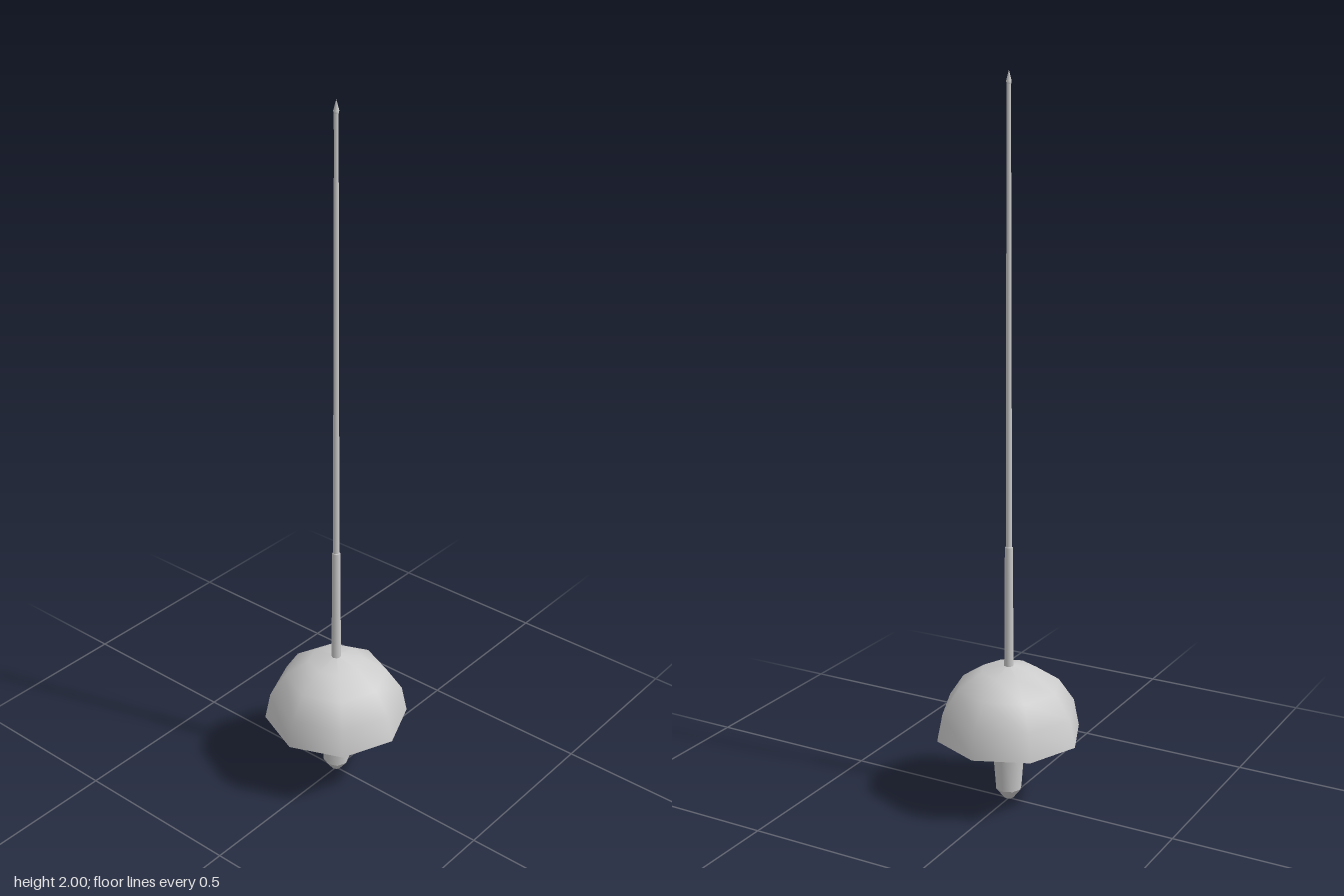
import * as THREE from 'three';

const SIDES = 8;

// Turned part from [radius, height] pairs listed bottom to top
function turned(name, profile) {
  const points = profile.map(([r, y]) => new THREE.Vector2(r, y));
  const material = new THREE.MeshStandardMaterial({ color: 0xcccccc });
  const mesh = new THREE.Mesh(new THREE.LatheGeometry(points, SIDES), material);
  mesh.name = name;
  return mesh;
}

// Quarter arc from rim to crown
function arc(radius, height, base, steps = 4) {
  return Array.from({ length: steps + 1 }, (_, i) => {
    const a = (i / steps) * Math.PI / 2;
    return [i === steps ? 0 : radius * Math.cos(a), base + height * Math.sin(a)];
  });
}

export function createModel() {
  const group = new THREE.Group();
  group.name = 'fencingSword';

  // Bell guard: outer shell, inner shell and the flat rim between them
  const guard = new THREE.Group();
  guard.name = 'bellGuard';
  const outer = arc(0.206, 0.204, 0.198);
  const inner = arc(0.195, 0.193, 0.198);
  guard.add(
    turned('guardOuter', outer),
    turned('guardInner', inner.slice().reverse()),
    turned('guardRim', [inner[0], outer[0]]),
  );
  group.add(guard);

  // Grip with a rounded pommel, running up into the guard
  group.add(
    turned('pommel', [[0, 0], [0.014, 0.004], [0.037, 0.034]]),
    turned('grip', [[0.037, 0.034], [0.05, 0.2], [0.058, 0.32], [0.058, 0.375]]),
  );

  // Blade: thick forte, then two thinner lengths
  group.add(
    turned('bladeForte', [[0.0135, 0.38], [0.0115, 0.74], [0.0085, 0.742]]),
    turned('bladeMiddle', [[0.0085, 0.74], [0.0075, 1.42]]),
    turned('bladeFoible', [[0.0075, 1.42], [0.006, 1.83], [0.006, 1.97]]),
  );

  // Pointed tip
  group.add(turned('bladeTip', [[0.006, 1.965], [0.0075, 1.972], [0, 2]]));

  return group;
}
